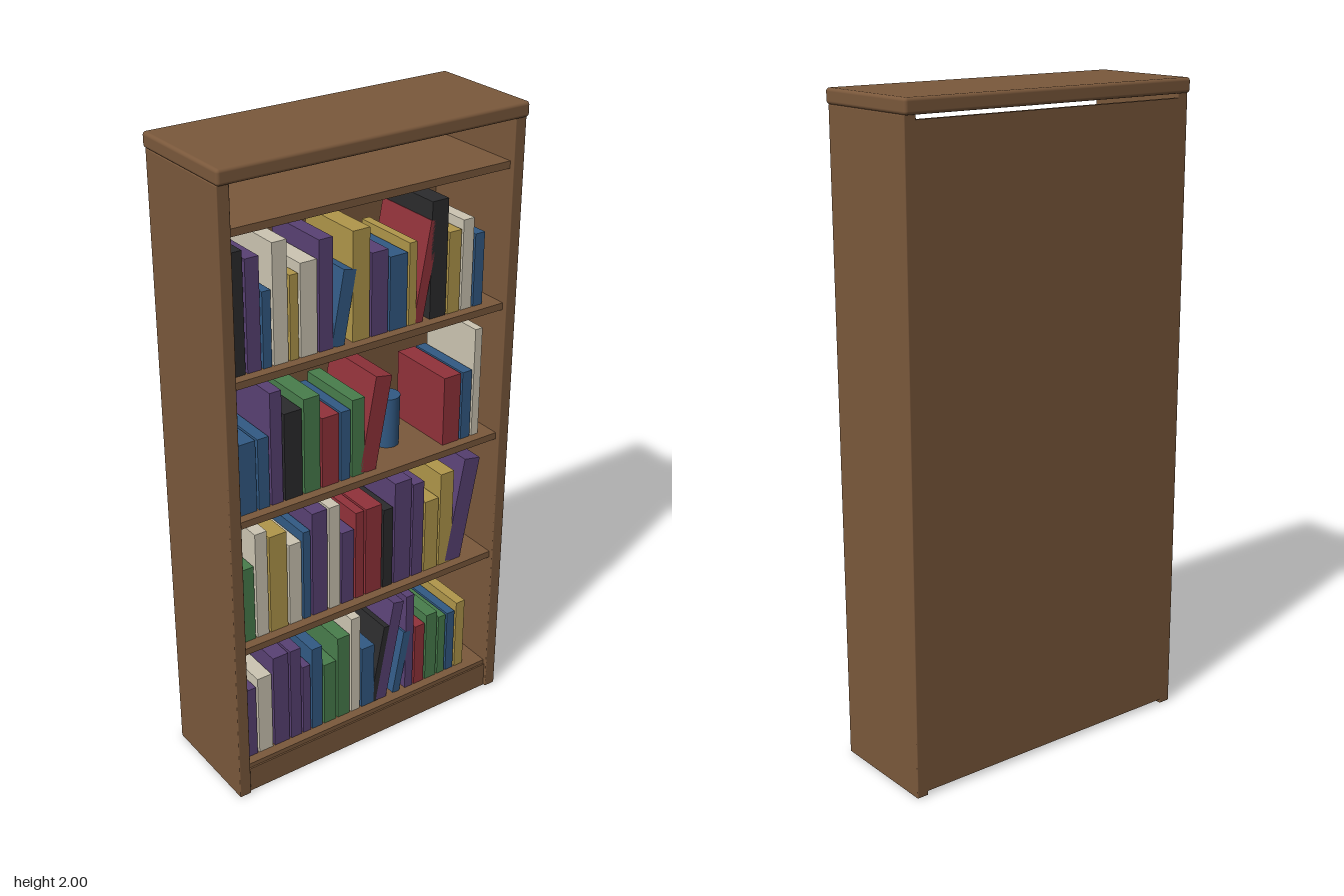
import * as THREE from 'three';
import { RoundedBoxGeometry } from 'three/addons/geometries/RoundedBoxGeometry.js';

const SHELF_TOPS = [0.1, 0.53, 0.963, 1.397, 1.83];
const BOOK_DEPTH = 0.23, BOOK_Z = 0.02, GAP = 0.007, LEAN = 0.185;

// Books come in six standard heights
const bookHeight = (size) => 0.225 + 0.026 * size;

const mat = (name, color) => {
  const m = new THREE.MeshStandardMaterial({ color });
  m.name = name;
  return m;
};

export function createModel() {
  const model = new THREE.Group();
  model.name = 'bookcase';

  const wood = mat('wood', 0x7a583b);
  const red = mat('red cover', 0x91323a);
  const blue = mat('blue cover', 0x325a84);
  const green = mat('green cover', 0x487d4c);
  const purple = mat('purple cover', 0x594174);
  const yellow = mat('yellow cover', 0xb0964a);
  const cream = mat('cream cover', 0xccc5b2);
  const black = mat('black cover', 0x2b2b2d);

  const add = (name, geometry, material, x, y, z) => {
    const m = new THREE.Mesh(geometry, material);
    m.name = name;
    m.position.set(x, y, z);
    model.add(m);
    return m;
  };

  // Board given by its lower and upper corners
  const board = (name, [x0, y0, z0], [x1, y1, z1], radius = 0) => {
    const size = [x1 - x0, y1 - y0, z1 - z0];
    const g = radius ? new RoundedBoxGeometry(...size, 3, radius) : new THREE.BoxGeometry(...size);
    add(name, g, wood, (x0 + x1) / 2, (y0 + y1) / 2, (z0 + z1) / 2);
  };

  // Book standing on a shelf, pivoting at the middle of its foot
  const book = (name, level, x, cover, width, size) => {
    const h = bookHeight(size);
    const g = new THREE.BoxGeometry(width, h, BOOK_DEPTH).translate(0, h / 2, 0);
    return add(name, g, cover, x, SHELF_TOPS[level], BOOK_Z);
  };

  // Upright books packed side by side from a left edge: [cover, width, size]
  const bookRun = (level, start, books) => {
    let x = start;
    for (const [cover, width, size] of books) {
      book('book', level, x + width / 2, cover, width, size);
      x += width + GAP;
    }
  };

  const leaningBook = (level, x, cover, width, size) => {
    book('leaningBook', level, x, cover, width, size).rotation.z = -LEAN;
  };

  // Carcass
  board('topBoard', [-0.503, 1.955, -0.19], [0.503, 2, 0.19], 0.01);
  board('rightSide', [-0.5, 0, -0.18], [-0.462, 1.956, 0.18], 0.003);
  board('leftSide', [0.462, 0, -0.18], [0.5, 1.956, 0.18], 0.003);
  board('backPanel', [-0.49, 0.014, -0.18], [0.49, 1.942, -0.165]);
  board('plinth', [-0.463, 0, -0.16], [0.463, 0.085, 0.17]);
  SHELF_TOPS.forEach((top, i) =>
    board(`shelf${i + 1}`, [-0.463, top - 0.022, -0.166], [0.463, top, 0.165]));

  // Bottom shelf
  bookRun(0, -0.447, [
    [purple, 0.04, 1], [cream, 0.049, 2], [purple, 0.054, 4], [purple, 0.038, 4], [purple, 0.027, 1],
    [blue, 0.038, 3], [green, 0.044, 0], [green, 0.045, 3], [cream, 0.033, 5], [blue, 0.048, 0]]);
  leaningBook(0, 0.034, black, 0.03, 2);
  leaningBook(0, 0.06, purple, 0.04, 5);
  leaningBook(0, 0.12, blue, 0.027, 0);
  bookRun(0, 0.156, [
    [purple, 0.03, 5], [red, 0.038, 0], [green, 0.043, 1], [green, 0.028, 0], [blue, 0.03, 0],
    [yellow, 0.034, 1]]);

  // Second shelf
  bookRun(1, -0.444, [
    [green, 0.043, 1], [cream, 0.04, 5], [yellow, 0.06, 4], [cream, 0.043, 2], [blue, 0.025, 3],
    [purple, 0.053, 5], [cream, 0.038, 5], [purple, 0.044, 1], [red, 0.03, 3], [red, 0.059, 3],
    [black, 0.035, 2], [purple, 0.062, 5], [purple, 0.041, 4], [yellow, 0.051, 1], [yellow, 0.05, 4]]);
  leaningBook(1, 0.334, purple, 0.06, 5);

  // Third shelf, with a round jar in the gap
  bookRun(2, -0.447, [
    [blue, 0.064, 0], [blue, 0.036, 0], [purple, 0.038, 5], [black, 0.059, 2], [green, 0.054, 3],
    [red, 0.059, 0], [blue, 0.032, 0], [green, 0.043, 1]]);
  leaningBook(2, 0, red, 0.057, 3);
  add('jar', new THREE.CylinderGeometry(0.04, 0.038, 0.163, 24), blue, 0.152, SHELF_TOPS[2] + 0.0815, 0.02);
  bookRun(2, 0.278, [[red, 0.062, 0], [blue, 0.035, 0], [cream, 0.026, 5]]);

  // Fourth shelf
  bookRun(3, -0.447, [
    [black, 0.041, 5], [purple, 0.043, 4], [blue, 0.027, 0], [cream, 0.046, 5], [yellow, 0.027, 1],
    [cream, 0.054, 2], [purple, 0.045, 4]]);
  leaningBook(3, -0.106, blue, 0.042, 0);
  bookRun(3, -0.056, [[yellow, 0.057, 4], [purple, 0.056, 1], [blue, 0.06, 0], [yellow, 0.026, 1]]);
  leaningBook(3, 0.172, red, 0.032, 3);
  bookRun(3, 0.214, [[black, 0.057, 5], [yellow, 0.043, 1], [cream, 0.038, 2], [blue, 0.034, 0]]);

  return model;
}
